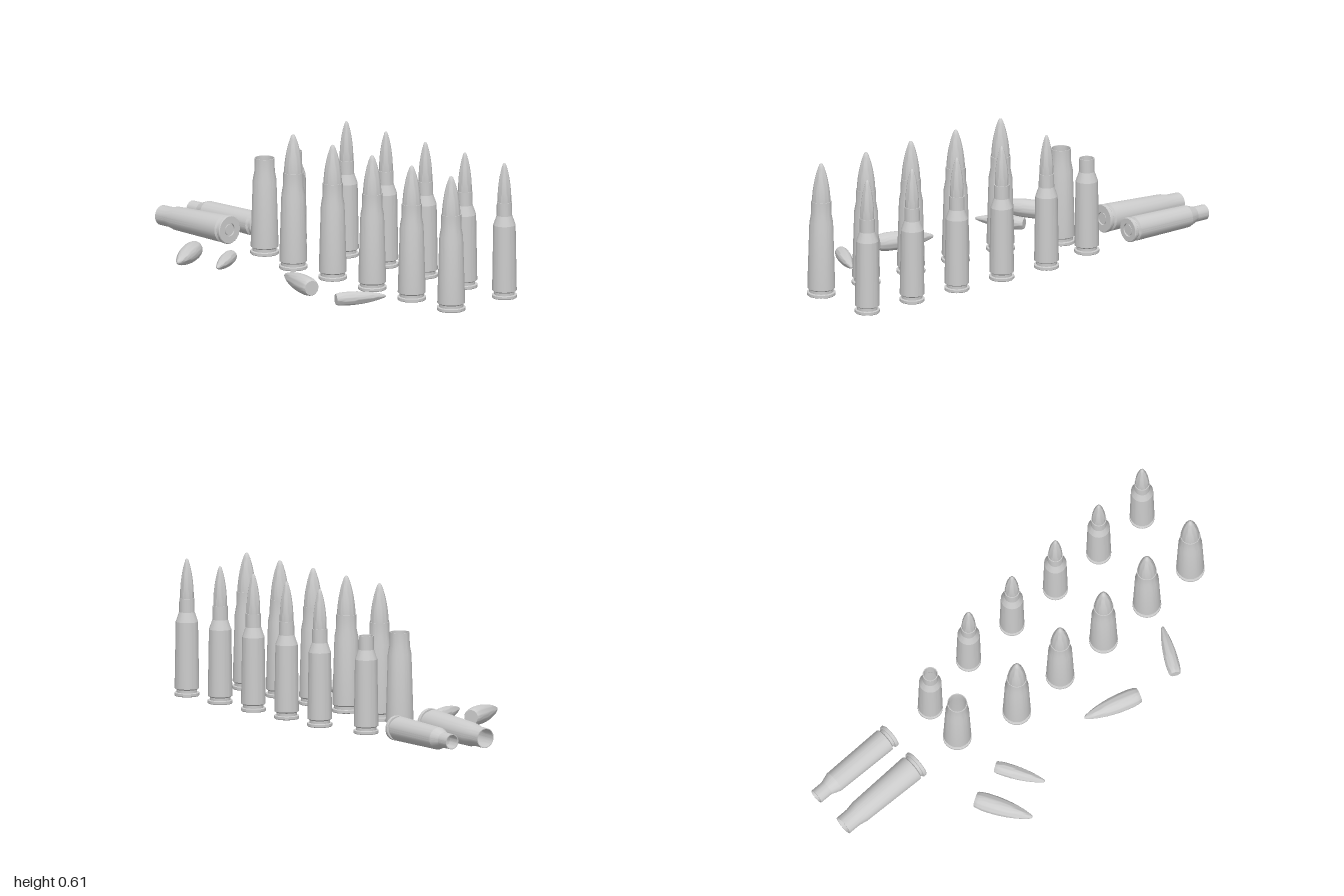
import * as THREE from 'three';
import { toCreasedNormals } from 'three/addons/utils/BufferGeometryUtils.js';

const SIDES = 36;
const material = new THREE.MeshStandardMaterial({ color: 0xcccccc });

function lathe(profile, crease) {
  const points = profile.map(([r, y]) => new THREE.Vector2(r, y));
  return toCreasedNormals(new THREE.LatheGeometry(points, SIDES), crease);
}

// Hollow case: primer, rim, extractor groove, tapered body, shoulder, neck, inside wall
function caseGeometry({ rim, body, shoulder, neck, shoulderY, neckY }) {
  const wall = 0.004, top = 0.433;
  return lathe([
    [0, 0.004], [0.024, 0.004], [0.024, 0.01], [0.029, 0.01], [0.029, 0.002],
    [rim - 0.003, 0.002], [rim, 0.005], [rim, 0.016], [rim - 0.002, 0.018],
    [rim - 0.01, 0.018], [rim - 0.01, 0.03], [body, 0.036], [body, 0.042],
    [shoulder, shoulderY], [neck, neckY], [neck - 0.0005, top],
    [neck - wall, top], [neck - wall, neckY], [shoulder - wall, shoulderY - 0.003],
    [body - 0.008, 0.05], [0, 0.045],
  ], 0.3);
}

// Pointed bullet with a slightly tapered tail; widths and heights are fractions
function bulletGeometry(radius, length) {
  const profile = [
    [0, 0], [0.78, 0], [0.86, 0.02], [0.93, 0.07], [1, 0.16], [1, 0.34], [0.97, 0.42],
    [0.91, 0.52], [0.82, 0.62], [0.7, 0.72], [0.55, 0.82], [0.37, 0.91],
    [0.24, 0.965], [0.14, 0.99], [0, 1],
  ];
  return lathe(profile.map(([r, y]) => [r * radius, y * length]), 0.7);
}

function addMesh(parent, name, geometry, x, y, z) {
  const mesh = new THREE.Mesh(geometry, material);
  mesh.name = name;
  mesh.position.set(x, y, z);
  parent.add(mesh);
  return mesh;
}

export function createModel() {
  const model = new THREE.Group();
  model.name = 'cartridgeSet';

  const kinds = [
    {
      name: 'large',
      shell: { rim: 0.063, body: 0.061, shoulder: 0.052, neck: 0.0445, shoulderY: 0.335, neckY: 0.375 },
      radius: 0.041, length: 0.262, tipY: 0.605, rowZ: -0.027, emptyZ: -0.111,
      lyingZ: -0.116, lyingY: 0.065, tilt: 0.032,
      // Loose bullets: tail x, z and tip x, z
      loose: [[-0.484, 0.172, -0.355, 0.396], [0.372, 0.278, 0.117, 0.2]],
    },
    {
      name: 'small',
      shell: { rim: 0.055, body: 0.054, shoulder: 0.049, neck: 0.034, shoulderY: 0.33, neckY: 0.373 },
      radius: 0.03, length: 0.228, tipY: 0.609, rowZ: -0.346, emptyZ: -0.29,
      lyingZ: -0.294, lyingY: 0.057, tilt: 0.012,
      loose: [[-0.317, 0.112, -0.2, 0.306], [0.557, 0.307, 0.66, 0.103]],
    },
  ];

  for (const k of kinds) {
    const shell = caseGeometry(k.shell);
    const bullet = bulletGeometry(k.radius, k.length);

    // Row of five standing cartridges
    for (let i = 0; i < 5; i++) {
      const cartridge = new THREE.Group();
      cartridge.name = `${k.name}Cartridge${i + 1}`;
      cartridge.position.set(-0.071 + 0.252 * i, 0, k.rowZ);
      addMesh(cartridge, 'case', shell, 0, 0, 0);
      addMesh(cartridge, 'bullet', bullet, 0, k.tipY - k.length, 0);
      model.add(cartridge);
    }

    // Empty cases, one standing and one lying with its mouth towards -x
    addMesh(model, `${k.name}EmptyCase`, shell, -0.343, 0, k.emptyZ);
    const lying = addMesh(model, `${k.name}LyingCase`, shell, -0.568, k.lyingY, k.lyingZ);
    lying.rotation.z = Math.PI / 2 + k.tilt;

    // Loose bullets on the ground
    k.loose.forEach(([x0, z0, x1, z1], i) => {
      const loose = addMesh(model, `${k.name}LooseBullet${i + 1}`, bullet, x0, k.radius + 0.006, z0);
      const direction = new THREE.Vector3(x1 - x0, 0, z1 - z0).normalize();
      loose.quaternion.setFromUnitVectors(new THREE.Vector3(0, 1, 0), direction);
    });
  }
  return model;
}
